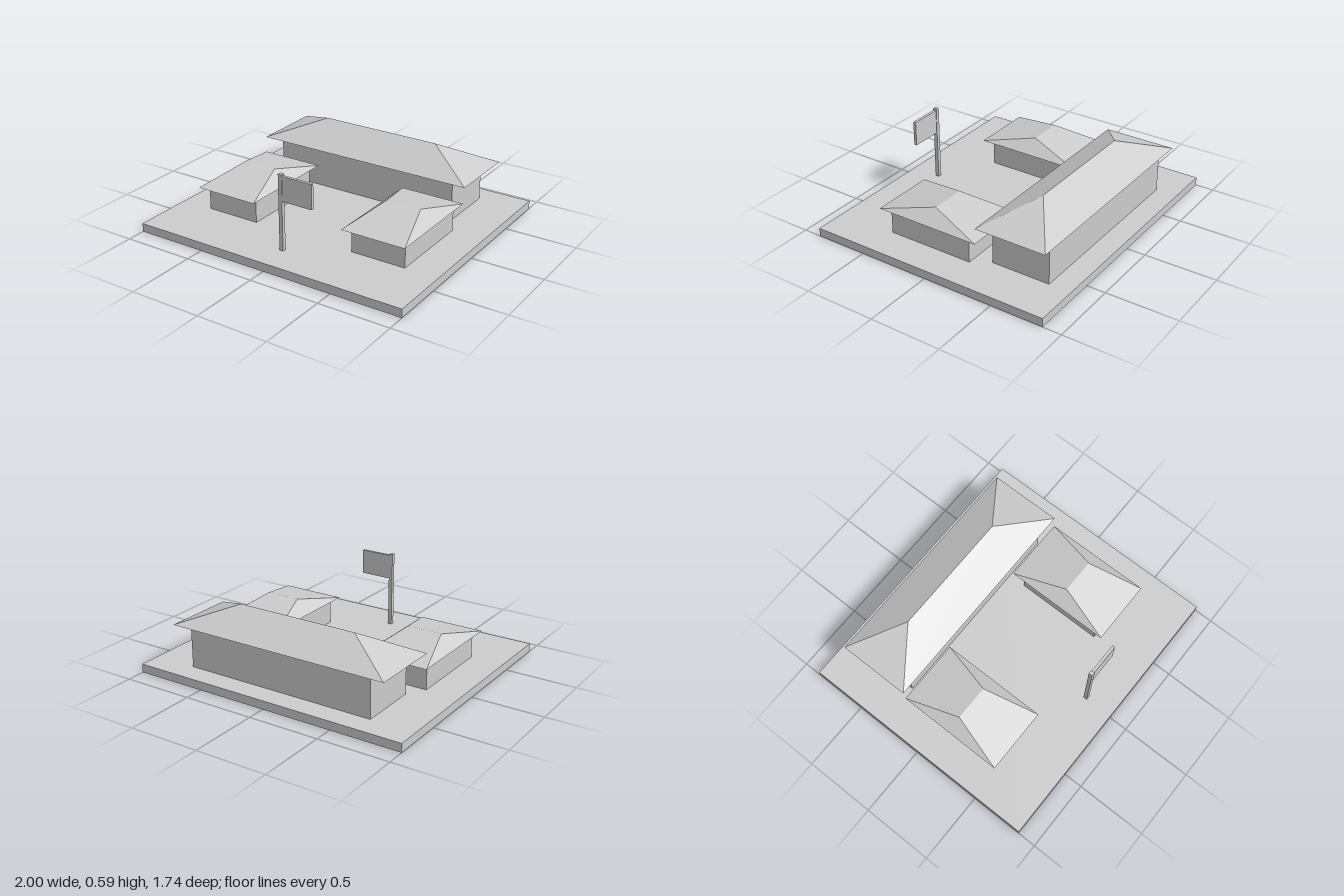
import * as THREE from 'three';

const stone = new THREE.MeshStandardMaterial({ color: 0xcccccc, flatShading: true, side: THREE.DoubleSide });
stone.name = 'light grey';

// Box given by its centre in x and z, its underside and its size
function box(name, x, y, z, w, h, d) {
  const mesh = new THREE.Mesh(new THREE.BoxGeometry(w, h, d), stone);
  mesh.name = name;
  mesh.position.set(x, y + h / 2, z);
  return mesh;
}

// Hip roof open underneath: eaves rectangle w by d, ridge along x
function hipRoof(name, x, y, z, w, d, h, ridge) {
  const a = [-w / 2, 0, d / 2], b = [w / 2, 0, d / 2];
  const c = [w / 2, 0, -d / 2], e = [-w / 2, 0, -d / 2];
  const l = [-ridge / 2, h, 0], r = [ridge / 2, h, 0];
  const faces = [a, b, r, a, r, l, c, e, l, c, l, r, b, c, r, e, a, l];
  const geometry = new THREE.BufferGeometry();
  geometry.setAttribute('position', new THREE.Float32BufferAttribute(faces.flat(), 3));
  geometry.computeVertexNormals();
  const mesh = new THREE.Mesh(geometry, stone);
  mesh.name = name;
  mesh.position.set(x, y, z);
  return mesh;
}

export function createModel() {
  const model = new THREE.Group();
  model.name = 'courtyard';

  model.add(box('groundSlab', 0, 0, 0, 2, 0.06, 1.74));

  // Main hall across the back
  const hall = new THREE.Group();
  hall.name = 'mainHall';
  hall.add(box('hallWalls', 0, 0.06, -0.507, 1.38, 0.275, 0.417));
  hall.add(hipRoof('hallRoof', 0, 0.347, -0.503, 1.61, 0.511, 0.143, 0.875));
  model.add(hall);

  // Matching side houses
  for (const [name, side] of [['left', 1], ['right', -1]]) {
    const house = new THREE.Group();
    house.name = name + 'House';
    house.add(box(name + 'Walls', side * 0.572, 0.06, 0.133, 0.392, 0.166, 0.617));
    house.add(hipRoof(name + 'Roof', side * 0.572, 0.234, 0.133, 0.46, 0.755, 0.085, 0.247));
    model.add(house);
  }

  // Flag pole in front, flag flying to the left
  const flag = new THREE.Group();
  flag.name = 'flagPole';
  flag.add(box('pole', 0, 0.06, 0.661, 0.027, 0.528, 0.027));
  flag.add(box('flag', 0.124, 0.405, 0.661, 0.222, 0.172, 0.02));
  model.add(flag);

  return model;
}
